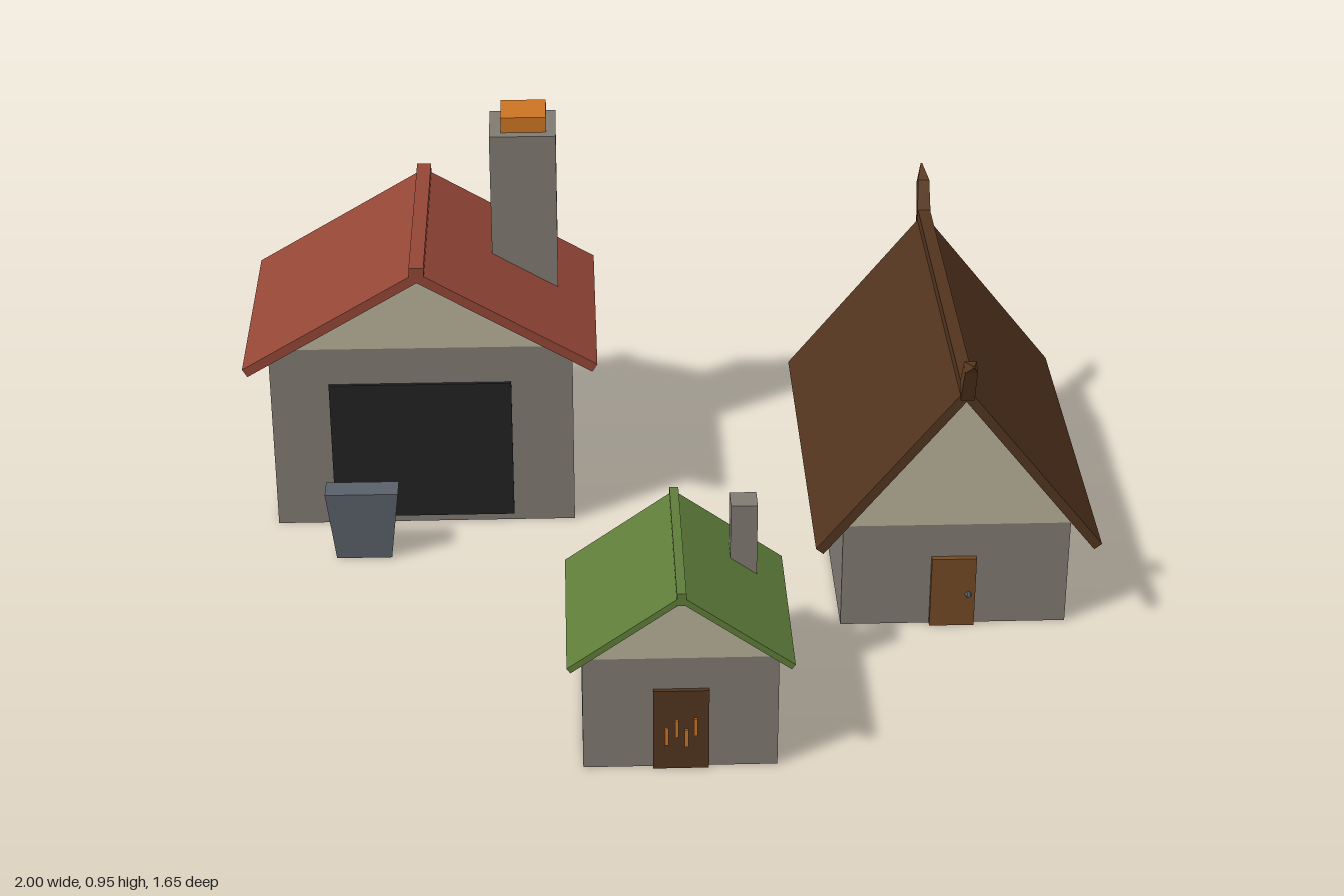
import * as THREE from 'three';

const mat = (name, color) => {
  const m = new THREE.MeshStandardMaterial({ color, flatShading: true });
  m.name = name;
  return m;
};

export function createModel() {
  const stone = mat('stone', 0x807a72);
  const plaster = mat('plaster', 0xb8b09a);
  const red = mat('red', 0x944636);
  const green = mat('green', 0x5f7d3a);
  const thatch = mat('dark brown', 0x52341f);
  const wood = mat('wood', 0x744a26);
  const orange = mat('orange', 0xcc7422);
  const black = mat('black', 0x222222);
  const iron = mat('iron', 0x5a616a);

  const model = new THREE.Group();
  model.name = 'village';

  const add = (parent, name, geo, material, x = 0, y = 0, z = 0) => {
    const m = new THREE.Mesh(geo, material);
    m.name = name;
    m.position.set(x, y, z);
    parent.add(m);
    return m;
  };
  // box given by its limits on each axis
  const box = (parent, name, material, [x0, x1], [y0, y1], [z0, z1]) =>
    add(parent, name, new THREE.BoxGeometry(x1 - x0, y1 - y0, z1 - z0), material,
      (x0 + x1) / 2, (y0 + y1) / 2, (z0 + z1) / 2);
  // outline in x and y, extruded from z0 to z1
  const prism = (parent, name, material, pts, x, z0, z1) =>
    add(parent, name, new THREE.ExtrudeGeometry(
      new THREE.Shape(pts.map(p => new THREE.Vector2(...p))),
      { depth: z1 - z0, bevelEnabled: false }), material, x, 0, z0);

  // walls, gable, pitched roof and ridge beam
  function house(name, o) {
    const g = new THREE.Group();
    g.name = name;
    model.add(g);
    const [z0, z1] = o.wallZ, [r0, r1] = o.roofZ, w = o.halfWidth;
    box(g, 'walls', stone, [o.x - w, o.x + w], [0, o.wallTop], [z0, z1]);
    prism(g, 'gable', plaster, [[-w, o.wallTop], [w, o.wallTop], [0, o.gableTop]], o.x, z0, z1);
    const h = o.roofHalf, rise = o.roofTop - o.eave, len = Math.hypot(h, rise), t = o.thick;
    const ix = h - t * rise / len, iy = o.eave - t * h / len;
    prism(g, 'roof', o.roof, [[0, o.roofTop], [-h, o.eave], [-ix, iy],
      [0, o.roofTop - t * len / h], [ix, iy], [h, o.eave]], o.x, r0, r1);
    box(g, 'ridge', o.roof, [o.x - o.ridgeW / 2, o.x + o.ridgeW / 2],
      [o.ridgeTop - 0.03, o.ridgeTop], [r0 - 0.002, r1 + 0.002]);
    return g;
  }

  // forge with wide opening and chimney
  const forge = house('forge', {
    x: -0.576, halfWidth: 0.365, wallTop: 0.48, gableTop: 0.683, wallZ: [-0.77, -0.27],
    roofZ: [-0.82, -0.22], roofHalf: 0.424, roofTop: 0.705, eave: 0.455, thick: 0.023,
    ridgeW: 0.035, ridgeTop: 0.718, roof: red });
  box(forge, 'opening', black, [-0.8, -0.36], [0.02, 0.385], [-0.275, -0.262]);
  box(forge, 'chimney', stone, [-0.404, -0.243], [0.4, 0.914], [-0.692, -0.532]);
  box(forge, 'embers', orange, [-0.376, -0.266], [0.9, 0.953], [-0.667, -0.557]);

  // tapered anvil block
  const anvilGeo = new THREE.CylinderGeometry(Math.SQRT1_2, Math.SQRT1_2 * 0.76, 0.18, 4, 1)
    .rotateY(Math.PI / 4).scale(0.175, 1, 0.062);
  add(model, 'anvil', anvilGeo, iron, -0.722, 0.09, -0.121);

  // small cottage
  const cottage = house('cottage', {
    x: 0.009, halfWidth: 0.212, wallTop: 0.278, gableTop: 0.43, wallZ: [0.4, 0.8],
    roofZ: [0.374, 0.822], roofHalf: 0.245, roofTop: 0.446, eave: 0.27, thick: 0.014,
    ridgeW: 0.02, ridgeTop: 0.454, roof: green });
  box(cottage, 'chimney', stone, [0.129, 0.188], [0.25, 0.492], [0.467, 0.527]);
  box(cottage, 'door', thatch, [-0.051, 0.07], [0, 0.2], [0.795, 0.81]);
  [[-0.022, 0.085], [0.0, 0.105], [0.021, 0.08], [0.041, 0.108]].forEach(([x, y]) =>
    box(cottage, 'doorMark', orange, [x - 0.004, x + 0.004], [y - 0.022, y + 0.022], [0.808, 0.815]));

  // longhouse
  const hall = house('longhouse', {
    x: 0.668, halfWidth: 0.263, wallTop: 0.265, gableTop: 0.625, wallZ: [-0.585, 0.24],
    roofZ: [-0.633, 0.29], roofHalf: 0.329, roofTop: 0.648, eave: 0.236, thick: 0.022,
    ridgeW: 0.03, ridgeTop: 0.661, roof: thatch });
  box(hall, 'door', wood, [0.612, 0.716], [0, 0.18], [0.235, 0.254]);
  add(hall, 'doorHandle', new THREE.SphereGeometry(0.008, 6, 5), iron, 0.7, 0.085, 0.256);

  // curved horn on each ridge end, narrowing to a point
  function horn(zEnd, dir) {
    // inner and outer edge as [outward, height], with half width
    const rows = [[-0.01, 0.66, 0.01, 0.622, 0.016], [0.024, 0.728, 0.05, 0.712, 0.014],
      [0.083, 0.747, 0.085, 0.742, 0.002]];
    const pos = [], idx = [];
    rows.forEach(([a, b, c, d, w]) => pos.push(-w, b, a, w, b, a, w, d, c, -w, d, c));
    for (let r = 0; r < 2; r++)
      for (let k = 0; k < 4; k++) {
        const a = r * 4 + k, b = r * 4 + (k + 1) % 4;
        idx.push(a, a + 4, b, b, a + 4, b + 4);
      }
    idx.push(0, 1, 2, 0, 2, 3, 8, 10, 9, 8, 11, 10);
    const geo = new THREE.BufferGeometry();
    geo.setAttribute('position', new THREE.Float32BufferAttribute(pos, 3));
    geo.setIndex(idx.map((_, i) => idx[i - (i % 3) + 2 - (i % 3)]));
    geo.computeVertexNormals();
    if (dir < 0) geo.rotateY(Math.PI);
    add(hall, 'ridgeHorn', geo, thatch, 0.668, 0, zEnd).material = hornMat;
  }
  const hornMat = thatch.clone();
  hornMat.name = 'horn brown';
  hornMat.color.set(0x5c3b21);
  hornMat.side = THREE.DoubleSide;
  horn(0.29, 1);
  horn(-0.633, -1);

  // hexagonal shields on the side wall
  for (const z of [0.006, -0.286]) {
    const shield = new THREE.Group();
    shield.name = 'shield';
    shield.position.set(0.931, 0.177, z);
    shield.rotation.z = -Math.PI / 2;
    hall.add(shield);
    const turn = Math.PI / 2;
    add(shield, 'shieldBoard', new THREE.CylinderGeometry(0.044, 0.058, 0.016, 6).rotateY(turn), red, 0, 0.008, 0);
    add(shield, 'shieldRim', new THREE.CylinderGeometry(0.022, 0.026, 0.006, 6).rotateY(turn), red, 0, 0.018, 0);
    add(shield, 'shieldBoss', new THREE.CylinderGeometry(0.01, 0.017, 0.01, 6).rotateY(turn), iron, 0, 0.022, 0);
  }
  return model;
}
